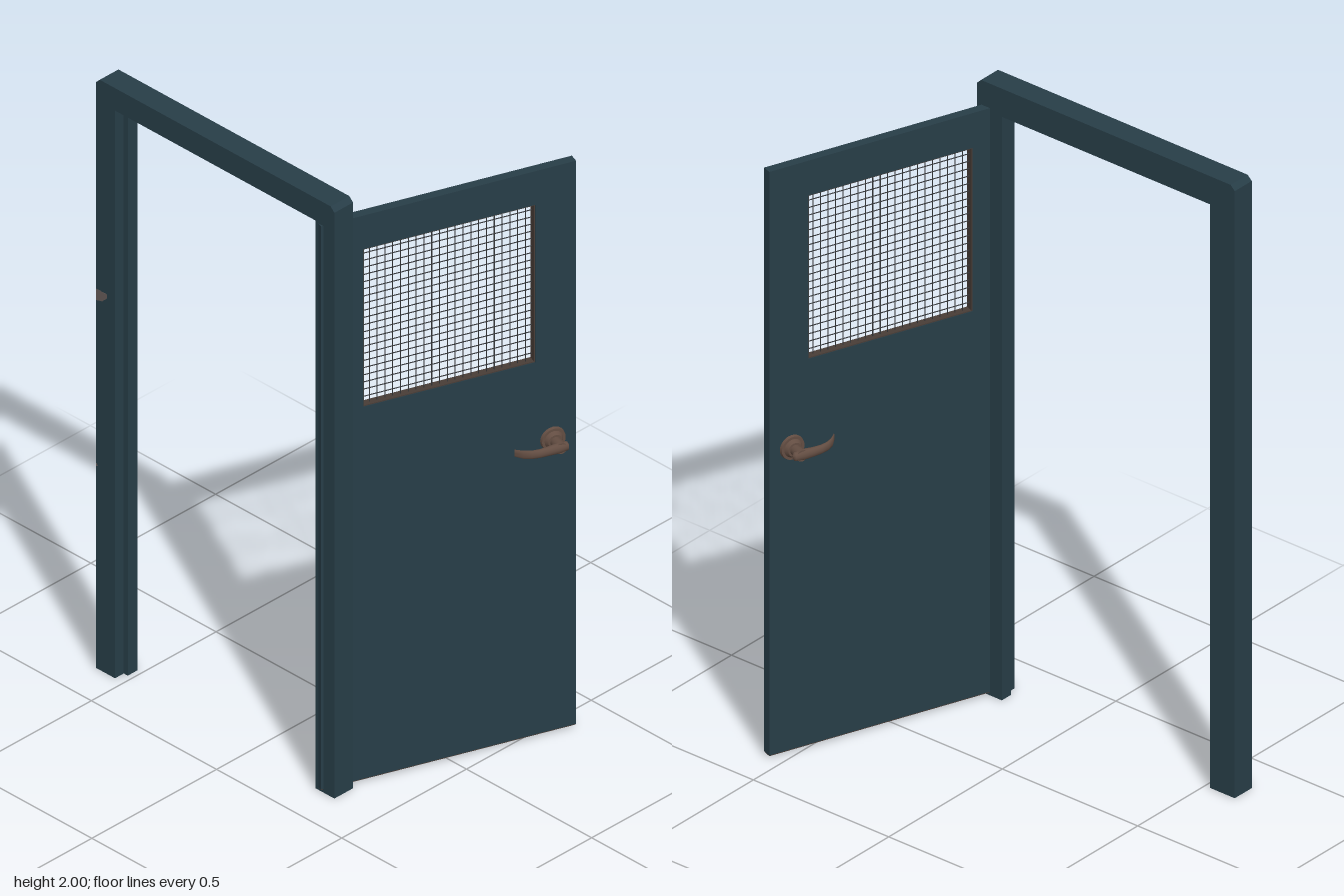
import * as THREE from 'three';

const mat = (name, color, side = THREE.FrontSide) => {
  const m = new THREE.MeshStandardMaterial({ color, side });
  m.name = name;
  return m;
};

export function createModel() {
  const paint = mat('slate paint', 0x273d47);
  const trim = mat('dark trim', 0x483c36);
  const wire = mat('wire', 0x35373a);
  const bronze = mat('bronze', 0x634d42, THREE.DoubleSide);
  const bare = mat('worn patch', 0x665c59);

  const add = (parent, name, geo, material, x = 0, y = 0, z = 0) => {
    const mesh = new THREE.Mesh(geo, material);
    mesh.name = name;
    mesh.position.set(x, y, z);
    parent.add(mesh);
    return mesh;
  };
  const box = (parent, name, w, h, d, material, x, y, z) =>
    add(parent, name, new THREE.BoxGeometry(w, h, d), material, x, y, z);

  const model = new THREE.Group();
  model.name = 'doorway';

  // Closed outline from a few points
  const outline = (points) => new THREE.Shape(points.map(([x, y]) => new THREE.Vector2(x, y)));
  // Door frame: an arch-shaped outline, with chamfered top corners
  const arch = (x0, x1, top, t, c) => outline([
    [x0, 0], [x0 + t, 0], [x0 + t, top - t], [x1 - t, top - t], [x1 - t, 0], [x1, 0],
    [x1, top - c], [x1 - c, top], [x0 + c, top], [x0, top - c],
  ]);
  const extrude = (shape, depth) =>
    new THREE.ExtrudeGeometry(shape, { depth, bevelEnabled: false });
  add(model, 'frame', extrude(arch(-0.61, 0.342, 2, 0.076, 0.015), 0.075), paint, 0, 0, 0.296);
  // Stop strip along the back half of the opening
  add(model, 'doorStop', extrude(arch(-0.534, 0.266, 1.924, 0.016, 0), 0.04), paint, 0, 0, 0.296);

  // Worn paint on the free post
  [
    [[-0.61, 1.247], [-0.585, 1.254], [-0.566, 1.272], [-0.566, 1.286], [-0.61, 1.286]],
    [[-0.61, 0.684], [-0.602, 0.69], [-0.61, 0.696]],
  ].forEach((points) =>
    add(model, 'wornPatch', extrude(outline(points), 0.001), bare, 0, 0, 0.3705));

  // Door leaf, swung open: local x runs to the free edge, local z is the outer face
  const door = new THREE.Group();
  door.name = 'door';
  door.position.set(0.418, 0, -0.002);
  door.rotation.y = THREE.MathUtils.degToRad(70);
  model.add(door);

  const W = 0.3985, T = 0.029;
  const win = { x0: -0.266, x1: 0.271, y0: 1.272, y1: 1.806 };
  const rect = (x0, x1, y0, y1) => outline([[x0, y0], [x1, y0], [x1, y1], [x0, y1]]);
  const opening = (inset) =>
    rect(win.x0 + inset, win.x1 - inset, win.y0 + inset, win.y1 - inset);
  const leaf = rect(-W, W, 0.012, 1.92);
  leaf.holes.push(opening(0));
  add(door, 'doorPanel', extrude(leaf, T), paint, 0, 0, -T / 2);
  box(door, 'bottomEdge', 2 * W - 0.002, 0.003, T - 0.002, trim, 0, 0.0105, 0);

  // Window lining
  const lining = opening(0);
  lining.holes.push(opening(0.003));
  add(door, 'windowLining', extrude(lining, T - 0.004), trim, 0, 0, -T / 2 + 0.002);

  // Wire grid in the window
  const n = 22, w = win.x1 - win.x0, h = win.y1 - win.y0, r = 0.0022;
  const grid = new THREE.Group();
  grid.name = 'wireGrid';
  door.add(grid);
  for (let i = 1; i < n; i++) {
    const k = i / n;
    box(grid, 'uprightWire', r, h, r, wire, win.x0 + w * k, win.y0 + h / 2, 0.001);
    box(grid, 'crossWire', w, r, r, wire, win.x0 + w / 2, win.y0 + h * k, -0.001);
  }

  // Lever: rings along a curve, each [x, y, z, half thickness, half height]
  const stations = [
    [0.351, 0, 0.066, 0.003, 0.005], [0.346, 0, 0.066, 0.012, 0.014],
    [0.318, 0, 0.067, 0.0135, 0.017], [0.288, 0, 0.069, 0.011, 0.015],
    [0.260, -0.001, 0.069, 0.009, 0.014], [0.237, -0.002, 0.064, 0.007, 0.014],
    [0.217, -0.003, 0.053, 0.005, 0.014], [0.198, -0.004, 0.033, 0.002, 0.012],
  ];
  const leverGeometry = () => {
    const N = 12, pos = [], idx = [];
    stations.forEach(([x, y, z, a, b], i) => {
      const p = stations[Math.max(i - 1, 0)], q = stations[Math.min(i + 1, stations.length - 1)];
      const dx = q[0] - p[0], dz = q[2] - p[2], l = Math.hypot(dx, dz);
      for (let j = 0; j < N; j++) {
        const t = (j / N) * Math.PI * 2, o = a * Math.cos(t);
        pos.push(x + (dz / l) * o, y + b * Math.sin(t), z - (dx / l) * o);
        if (i) {
          const A = (i - 1) * N + j, B = (i - 1) * N + ((j + 1) % N);
          idx.push(A, B, A + N, B, B + N, A + N);
        }
      }
    });
    // Close both ends
    const last = (stations.length - 1) * N;
    for (let j = 1; j < N - 1; j++) {
      idx.push(0, j + 1, j, last, last + j, last + j + 1);
    }
    const g = new THREE.BufferGeometry();
    g.setAttribute('position', new THREE.Float32BufferAttribute(pos, 3));
    g.setIndex(idx);
    g.computeVertexNormals();
    return g;
  };

  // One handle on each face
  [0, Math.PI].forEach((turn, i) => {
    const handle = new THREE.Group();
    handle.name = i ? 'innerHandle' : 'outerHandle';
    handle.position.y = 1;
    handle.rotation.x = turn;
    door.add(handle);
    const disc = (name, r0, r1, z0, z1) => {
      const g = new THREE.CylinderGeometry(r1, r0, z1 - z0, 24);
      g.rotateX(Math.PI / 2);
      add(handle, name, g, bronze, 0.325, 0, (z0 + z1) / 2);
    };
    disc('rosette', 0.039, 0.037, T / 2, 0.023);
    disc('collar', 0.029, 0.022, 0.023, 0.034);
    disc('stem', 0.016, 0.018, 0.034, 0.074);
    add(handle, 'lever', leverGeometry(), bronze);
  });

  return model;
}
